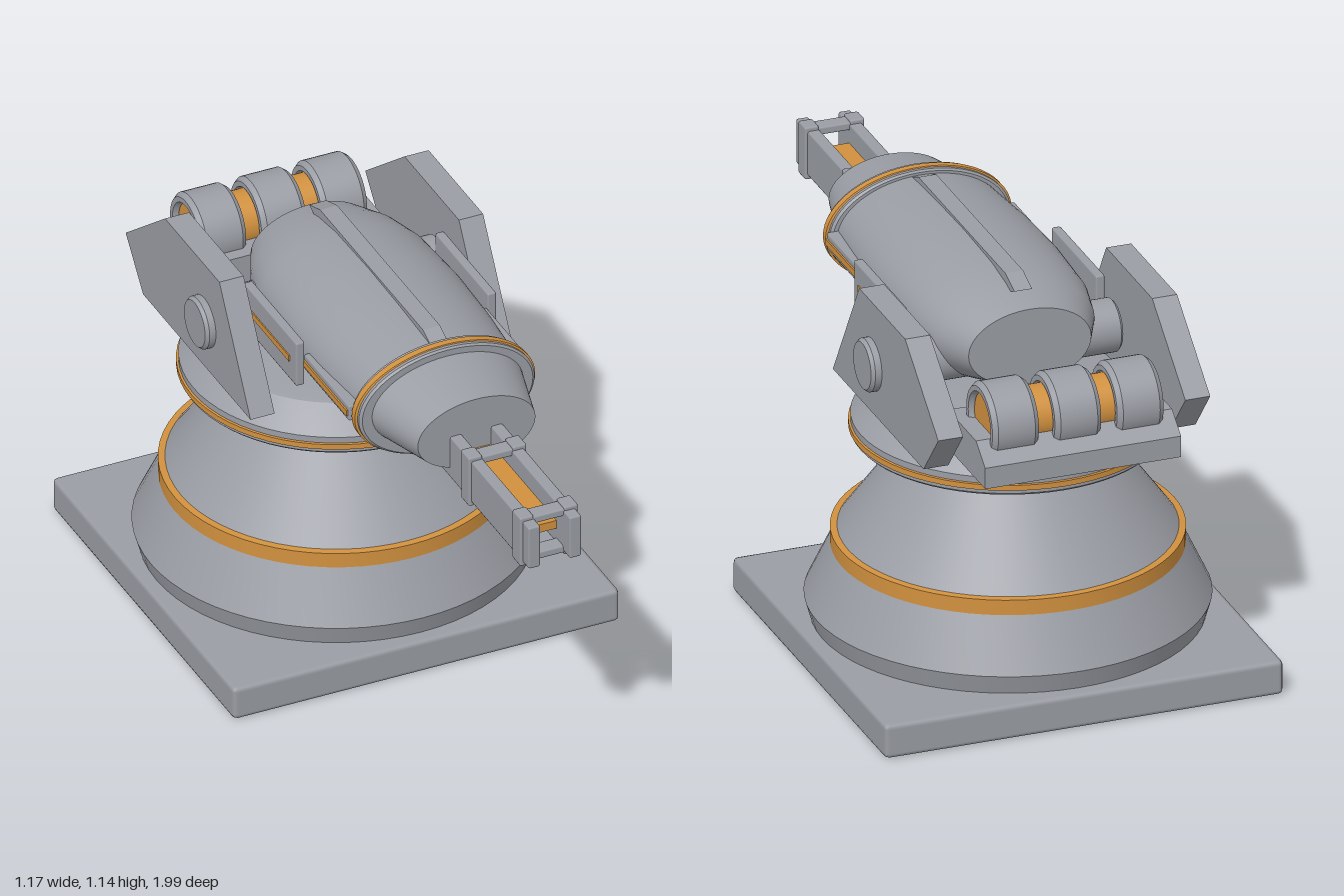
import * as THREE from 'three';
import { toCreasedNormals } from 'three/addons/utils/BufferGeometryUtils.js';
import { RoundedBoxGeometry } from 'three/addons/geometries/RoundedBoxGeometry.js';

const grey = new THREE.MeshStandardMaterial({ color: 0x9a9da4 });
grey.name = 'steel grey';
const orange = new THREE.MeshStandardMaterial({ color: 0xd1913f });
orange.name = 'orange trim';

const PIVOT_Z = -0.413;

export function createModel() {
  const model = new THREE.Group();
  model.name = 'turret';

  function add(name, geometry, material, x = 0, y = 0, z = 0) {
    const mesh = new THREE.Mesh(geometry, material);
    mesh.name = name;
    mesh.position.set(x, y, z);
    model.add(mesh);
    return mesh;
  }
  // profile is a list of [radius, height], from the bottom up
  function turned(profile, segments = 64, crease = 0.3) {
    const points = profile.map(([r, h]) => new THREE.Vector2(r, h));
    return toCreasedNormals(new THREE.LatheGeometry(points, segments), crease);
  }
  // turned along z, with the height of the section squashed
  function oval(profile, squash) {
    const points = profile.map(([r, h]) => new THREE.Vector2(r, h));
    const g = new THREE.LatheGeometry(points, 64).rotateX(Math.PI / 2).scale(1, squash, 1);
    return toCreasedNormals(g, 0.4);
  }
  // turned along x
  const axial = (profile, segments = 40) => turned(profile, segments).rotateZ(-Math.PI / 2);
  // side outline in [z, y], extruded across x and centred
  function sidePlate(outline, width) {
    const shape = new THREE.Shape(outline.map(([z, y]) => new THREE.Vector2(-z, y)));
    const g = new THREE.ExtrudeGeometry(shape, { depth: width, bevelEnabled: false });
    return g.translate(0, 0, -width / 2).rotateY(Math.PI / 2);
  }
  const box = (w, h, d, r = 0.006) => new RoundedBoxGeometry(w, h, d, 1, r);

  // Base plate and pedestal
  add('basePlate', box(1.17, 0.103, 1.17, 0.015), grey, 0, 0.0515, PIVOT_Z);
  add('pedestalLower', turned([[0, 0.1], [0.543, 0.1], [0.56, 0.16], [0.487, 0.315], [0, 0.315]]), grey, 0, 0, PIVOT_Z);
  add('pedestalBand', turned([[0.47, 0.313], [0.488, 0.313], [0.488, 0.358], [0.465, 0.36]]), orange, 0, 0, PIVOT_Z);
  add('pedestalUpper', turned([[0.472, 0.355], [0.275, 0.626], [0, 0.626]]), grey, 0, 0, PIVOT_Z);

  // Turntable floating over the pedestal
  add('turntable', turned([[0, 0.665], [0.37, 0.665], [0.385, 0.648], [0.425, 0.648], [0.432, 0.655],
    [0.432, 0.702], [0.425, 0.71], [0.36, 0.768], [0.335, 0.774], [0, 0.798]]), grey, 0, 0, PIVOT_Z);
  add('turntableBand', turned([[0.43, 0.664], [0.438, 0.666], [0.438, 0.682], [0.43, 0.684]]), orange, 0, 0, PIVOT_Z);

  // Rear shelf
  add('rearShelf', sidePlate([[-0.7, 0.765], [-0.985, 0.765], [-0.985, 0.828], [-0.915, 0.88], [-0.7, 0.88]], 0.575), grey);

  // Rollers on their shaft
  const rollerY = 0.903, rollerZ = -0.846;
  const roller = axial([[0.078, -0.055], [0.085, -0.068], [0.1, -0.068], [0.111, -0.054],
    [0.111, 0.054], [0.1, 0.068], [0.085, 0.068], [0.078, 0.055], [0.078, -0.055]]);
  for (const x of [-0.183, 0, 0.183]) add('roller', roller, grey, x, rollerY, rollerZ);
  add('rollerShaft', axial([[0, -0.235], [0.079, -0.235], [0.079, 0.235], [0, 0.235]]), orange, 0, rollerY, rollerZ);

  // Main body, collar and nose
  const bodyY = 0.97;
  add('body', oval([[0, -0.58], [0.18, -0.58], [0.232, -0.47], [0.258, -0.36], [0.268, -0.15],
    [0.262, 0.05], [0.245, 0.26], [0, 0.26]], 0.625), grey, 0, bodyY, 0);
  add('collar', oval([[0.22, 0.25], [0.258, 0.25], [0.266, 0.256], [0.266, 0.298], [0.258, 0.304], [0.21, 0.304]], 0.625),
    grey, 0, bodyY, 0);
  add('collarBand', oval([[0.264, 0.264], [0.273, 0.267], [0.273, 0.287], [0.264, 0.29]], 0.62), orange, 0, bodyY, 0);
  add('nose', oval([[0, 0.27], [0.238, 0.27], [0.178, 0.49], [0, 0.49]], 0.6), grey, 0, bodyY + 0.005, 0);
  add('topFin', sidePlate([[0.25, 1.08], [0.25, 1.122], [0.2, 1.143], [-0.46, 1.143], [-0.53, 1.118], [-0.44, 1.08]], 0.052), grey);

  // Axle, brackets and side fittings
  const bracket = sidePlate([[-0.115, 0.765], [-0.315, 1.097], [-0.665, 1.097], [-0.917, 0.9], [-0.805, 0.765]], 0.073);
  const cap = axial([[0, -0.02], [0.076, -0.02], [0.076, 0.01], [0.068, 0.02], [0, 0.02]]);
  const axle = axial([[0, -0.312], [0.068, -0.312], [0.076, -0.304], [0.076, 0.304], [0.068, 0.312], [0, 0.312]]);
  add('axle', axle, grey, 0, 0.911, PIVOT_Z);
  for (const s of [-1, 1]) {
    add('bracket', bracket, grey, s * 0.3625, 0, 0);
    add('pivotCap', cap, grey, s * 0.408, 0.911, PIVOT_Z).rotation.y = s > 0 ? 0 : Math.PI;
    add('sidePlate', box(0.027, 0.14, 0.34), grey, s * 0.29, 0.97, -0.195);
    add('sidePlateStripe', new THREE.BoxGeometry(0.006, 0.018, 0.26), orange, s * 0.304, 0.97, -0.195);
    add('sideRail', box(0.06, 0.05, 0.29), grey, s * 0.246, 0.97, 0.11);
    add('sideRailStripe', new THREE.BoxGeometry(0.008, 0.018, 0.28), orange, s * 0.277, 0.97, 0.11);
  }

  // Twin-rail barrel
  const barrelY = 0.913;
  add('barrelCore', new THREE.BoxGeometry(0.09, 0.026, 0.5), orange, 0, 0.909, 0.66);
  for (const s of [-1, 1]) {
    add('barrelRail', box(0.036, 0.134, 0.6), grey, s * 0.062, barrelY, 0.695);
  }
  for (const z of [0.6, 0.93]) {
    for (const s of [-1, 1]) {
      add('clampSide', box(0.042, 0.158, 0.054), grey, s * 0.067, barrelY, z);
      add('clampBar', box(0.15, 0.024, 0.048), grey, 0, barrelY + s * 0.06, z);
    }
  }
  return model;
}
